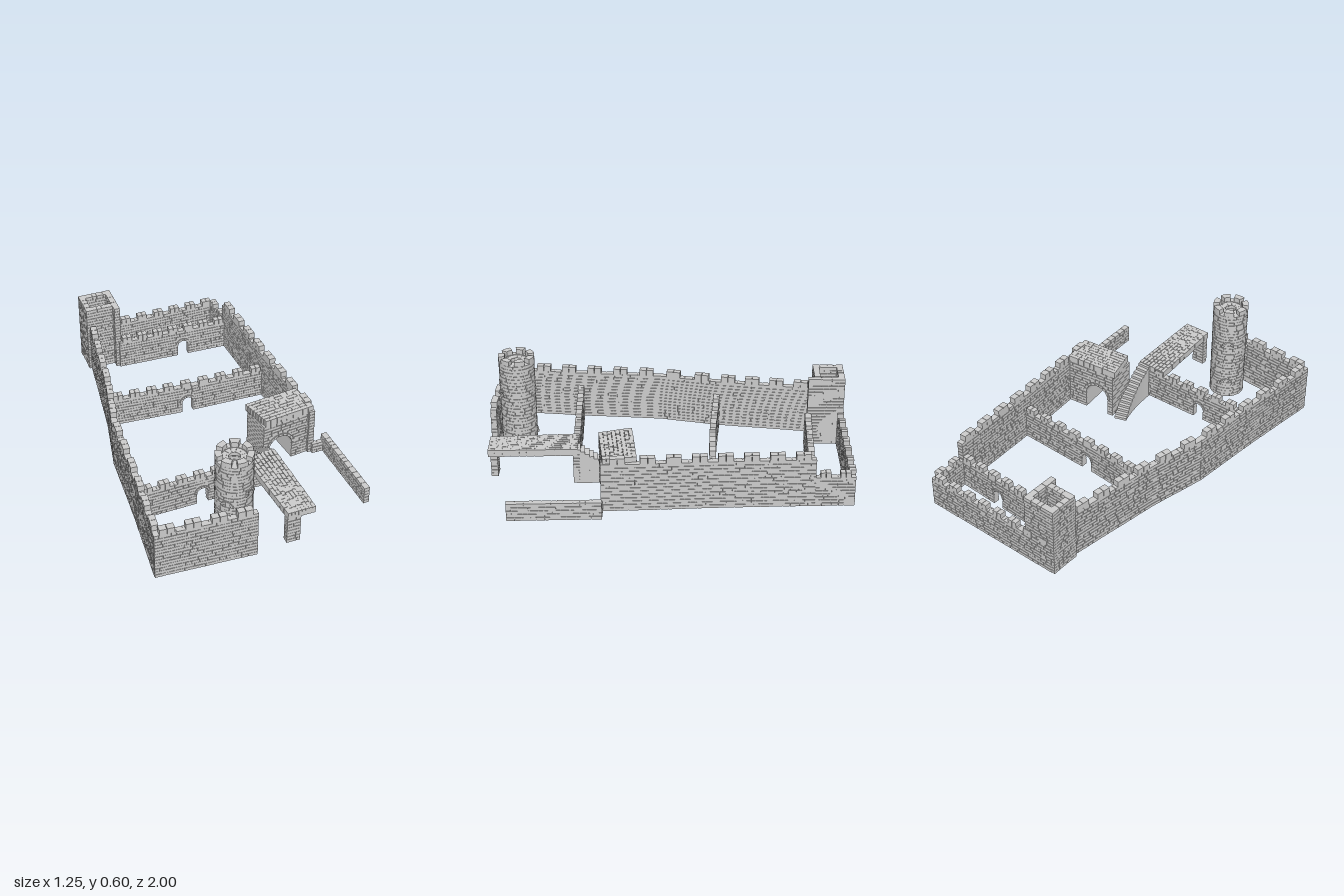
import * as THREE from 'three';
import { mergeGeometries } from 'three/addons/utils/BufferGeometryUtils.js';

const stone = new THREE.MeshStandardMaterial({ color: 0xcccccc, flatShading: true });
const GROUND = 0.008;
let seed = 7;
const rand = () => (seed = (seed * 16807) % 2147483647) / 2147483647;
const lerp = (a, b, t) => [a[0] + (b[0] - a[0]) * t, a[1] + (b[1] - a[1]) * t];

// box spanning x0..x1 and y0..y1, centred in depth
function block(x0, x1, y0, y1, depth) {
  return new THREE.BoxGeometry(x1 - x0, y1 - y0, depth).translate((x0 + x1) / 2, (y0 + y1) / 2, 0).toNonIndexed();
}

// curved block: ring sector in the XY plane, extruded along z
function sector(r0, r1, a0, a1, depth) {
  const s = new THREE.Shape();
  s.absarc(0, 0, r1, a0, a1, false);
  s.absarc(0, 0, r0, a1, a0, true);
  return new THREE.ExtrudeGeometry(s, { depth, bevelEnabled: false, curveSegments: 3 });
}

function addMesh(group, name, parts) {
  const mesh = new THREE.Mesh(mergeGeometries(parts), stone);
  mesh.name = name;
  group.add(mesh);
  return mesh;
}

// coursed masonry wall from a to b ([x, z]) with optional arched doors and merlons
function wall(group, name, a, b, h, { t = 0.036, y0 = GROUND, course = 0.02, crest = null, doors = [] } = {}) {
  const L = Math.hypot(b[0] - a[0], b[1] - a[1]);
  const parts = [];
  const rim = 0.014;

  // solid core, slightly behind the brick faces
  const s = new THREE.Shape();
  s.moveTo(0.003, y0);
  for (const d of doors) {
    s.lineTo(d.x - d.w, y0);
    s.lineTo(d.x - d.w, d.spring);
    s.absarc(d.x, d.spring, d.w, Math.PI, 0, true);
    s.lineTo(d.x + d.w, y0);
  }
  s.lineTo(L - 0.003, y0);
  s.lineTo(L - 0.003, h - 0.002);
  s.lineTo(0.003, h - 0.002);
  const depth = t - 0.008;
  parts.push(new THREE.ExtrudeGeometry(s, { depth, bevelEnabled: false, curveSegments: 10 }).translate(0, 0, -depth / 2));

  // brick courses, interrupted at the doors
  const rows = Math.max(1, Math.round((h - y0) / course));
  const rh = (h - y0) / rows;
  for (let r = 0; r < rows; r++) {
    const y = y0 + r * rh;
    const spans = [];
    let start = 0;
    for (const d of doors) {
      const up = Math.max(0, y - d.spring), R = d.w + (y + rh > d.spring ? rim : 0);
      if (up >= R) continue;
      const half = Math.sqrt(R * R - up * up);
      spans.push([start, d.x - half]);
      start = d.x + half;
    }
    spans.push([start, L]);
    for (const [from, to] of spans) {
      for (let x = from; x < to - 0.001;) {
        let end = x + 0.025 + rand() * 0.035;
        if (to - end < 0.02) end = to;
        parts.push(block(x, end - (end < to ? 0.0025 : 0), y, y + rh - (r < rows - 1 ? 0.002 : 0), t - rand() * 0.003));
        x = end;
      }
    }
  }

  // arch stones
  for (const d of doors) {
    const n = 9;
    for (let i = 0; i < n; i++) {
      const a0 = (Math.PI * i) / n;
      parts.push(sector(d.w, d.w + rim, a0 + 0.02, a0 + Math.PI / n - 0.02, t + 0.004).translate(d.x, d.spring, -t / 2 - 0.002));
    }
  }

  // merlons
  if (crest) {
    const n = Math.max(1, Math.round(L / crest.pitch));
    for (let i = 0; i < n; i++) {
      const c = ((i + 0.5) * L) / n;
      parts.push(block(c - crest.w / 2, c - 0.001, h, h + crest.h, t));
      parts.push(block(c + 0.001, c + crest.w / 2, h, h + crest.h, t));
    }
  }
  const mesh = addMesh(group, name, parts);
  mesh.position.set(a[0], 0, a[1]);
  mesh.rotation.y = -Math.atan2(b[1] - a[1], b[0] - a[0]);
  return mesh;
}

// paved slab over four corners, laid as strips running from edge p0-p1 to edge q0-q1
function deck(group, name, p0, p1, q0, q1, y0, y1, n) {
  const g = new THREE.Group();
  g.name = name;
  const width = (Math.hypot(p1[0] - p0[0], p1[1] - p0[1]) + Math.hypot(q1[0] - q0[0], q1[1] - q0[1])) / 2;
  for (let i = 0; i < n; i++) {
    const k = (i + 0.5) / n;
    wall(g, 'pavingStrip', lerp(p0, p1, k), lerp(q0, q1, k), y1, { t: width / n, y0, course: y1 - y0 });
  }
  group.add(g);
}

function roundTower(group) {
  const tower = new THREE.Group();
  tower.name = 'roundTower';
  tower.position.set(-0.155, 0, 0.845);
  const R = 0.1, r = 0.065, top = 0.57, rows = 28, n = 12, rh = (top - GROUND) / rows;
  const ring = (r0, r1, a0, a1, y, h) => sector(r0, r1, a0, a1, h).rotateX(-Math.PI / 2).translate(0, y, 0);

  const parts = [];
  for (let j = 0; j < rows; j++) {
    const shift = rand() * 6;
    for (let i = 0; i < n; i++) {
      const a = shift + (i * Math.PI * 2) / n;
      parts.push(ring(r, R - rand() * 0.002, a, a + (Math.PI * 2) / n - 0.025, GROUND + j * rh, rh - 0.0015));
    }
  }
  addMesh(tower, 'towerMasonry', parts);

  const profile = [[r + 0.003, GROUND], [R - 0.005, GROUND], [R - 0.005, top - 0.002], [r + 0.003, top - 0.002], [r + 0.003, GROUND]];
  addMesh(tower, 'towerCore', [new THREE.LatheGeometry(profile.map(p => new THREE.Vector2(...p)), 40)]);

  // upper floor ring and merlons
  const floor = [], merlons = [];
  for (let i = 0; i < 12; i++) floor.push(ring(0.03, r, (i * Math.PI) / 6, ((i + 1) * Math.PI) / 6 - 0.02, 0.545, 0.02));
  for (let i = 0; i < 7; i++) {
    const a = (i * Math.PI * 2) / 7;
    merlons.push(ring(r, R, a, a + 0.58, top, 0.028));
  }
  addMesh(tower, 'upperFloor', floor);
  addMesh(tower, 'towerMerlons', merlons);

  // arched stone surrounds of the windows and door
  for (const [angle, y] of [[0.58, 0.37], [-0.75, 0.31], [3.7, 0.36], [3.7, 0.1]]) {
    const stones = [];
    for (let i = 0; i < 7; i++) {
      const a = (i * Math.PI) / 7;
      stones.push(sector(0.022, 0.036, a + 0.03, a + Math.PI / 7 - 0.03, 0.016));
    }
    const arch = addMesh(tower, 'windowArch', stones);
    arch.position.set(Math.sin(angle) * 0.087, y, Math.cos(angle) * 0.087);
    arch.rotation.y = angle;
  }
  group.add(tower);
}

function stairs(group) {
  const path = new THREE.QuadraticBezierCurve(new THREE.Vector2(0.135, 0.205), new THREE.Vector2(0.18, 0.33), new THREE.Vector2(0.185, 0.5));
  const g = new THREE.Group(), n = 14;
  g.name = 'curvedStairs';
  for (let i = 0; i < n; i++) {
    const u = (i + 0.5) / n, p = path.getPoint(u), d = path.getTangent(u), h = (0.21 * (i + 1)) / n;
    const step = addMesh(g, 'step', [new THREE.BoxGeometry(0.072, h, 0.025)]);
    step.position.set(p.x, h / 2, p.y);
    step.rotation.y = Math.atan2(d.x, d.y);
  }
  group.add(g);
}

export function createModel() {
  const model = new THREE.Group();
  model.name = 'castle';
  const tall = { pitch: 0.15, w: 0.08, h: 0.034 };
  const small = { pitch: 0.1, w: 0.055, h: 0.03 };

  // high curtain walls
  const right = [[-0.61, 0.965], [-0.567, 0.52], [-0.535, 0.06], [-0.465, -0.27], [-0.388, -0.825]];
  const left = [[0.432, -0.785], [0.46, -0.24], [0.492, 0.17], [0.502, 0.35]];
  for (const line of [right, left])
    for (let i = 0; i < line.length - 1; i++)
      wall(model, line === right ? 'rightCurtainWall' : 'leftCurtainWall', line[i], line[i + 1], 0.29, { crest: tall });
  wall(model, 'frontWall', [-0.625, 0.955], [-0.08, 0.98], 0.29, { crest: tall });

  // low rear court
  wall(model, 'rearWall', [-0.4, -0.975], [0.435, -0.982], 0.18, { crest: small });
  wall(model, 'rearSideWall', [0.423, -0.995], [0.432, -0.785], 0.18, { crest: small });

  // cross walls with arched doorways
  const door = x => [{ x, w: 0.032, spring: 0.075 }];
  wall(model, 'rearCrossWall', [-0.24, -0.79], [0.43, -0.77], 0.18, { crest: small, doors: door(0.395) });
  wall(model, 'middleCrossWallRight', [-0.465, -0.275], [-0.07, -0.248], 0.18, { crest: small });
  wall(model, 'middleCrossWallLeft', [-0.07, -0.248], [0.46, -0.24], 0.18, { crest: small, doors: door(0.06) });
  wall(model, 'frontCrossWall', [-0.565, 0.525], [0.225, 0.498], 0.18, { crest: small, doors: door(0.36) });

  // square corner tower
  wall(model, 'squareTowerBack', [-0.42, -0.973], [-0.228, -0.973], 0.42);
  wall(model, 'squareTowerFront', [-0.42, -0.838], [-0.228, -0.838], 0.42);
  wall(model, 'squareTowerRight', [-0.402, -0.99], [-0.402, -0.82], 0.42);
  wall(model, 'squareTowerLeft', [-0.244, -0.99], [-0.244, -0.785], 0.42);

  roundTower(model);

  // gatehouse with vaulted passage and paved roof
  wall(model, 'gatehouse', [0.195, 0.284], [0.495, 0.246], 0.28, { t: 0.185, doors: [{ x: 0.107, w: 0.072, spring: 0.11 }] });
  deck(model, 'gatehouseRoof', [0.168, 0.195], [0.22, 0.375], [0.482, 0.158], [0.512, 0.338], 0.28, 0.32, 8);

  // raised causeway on a front pier, with stairs down to the court
  deck(model, 'causeway', [0.045, 0.49], [0.225, 0.49], [0.09, 0.978], [0.245, 0.975], 0.175, 0.215, 8);
  wall(model, 'causewayPier', [0.09, 0.955], [0.165, 0.955], 0.175, { t: 0.04 });
  stairs(model);

  // low outer wall
  wall(model, 'outerWallReturn', [0.505, 0.353], [0.575, 0.353], 0.07, { t: 0.03 });
  wall(model, 'outerWall', [0.583, 0.34], [0.608, 0.84], 0.11, { t: 0.034 });
  return model;
}
